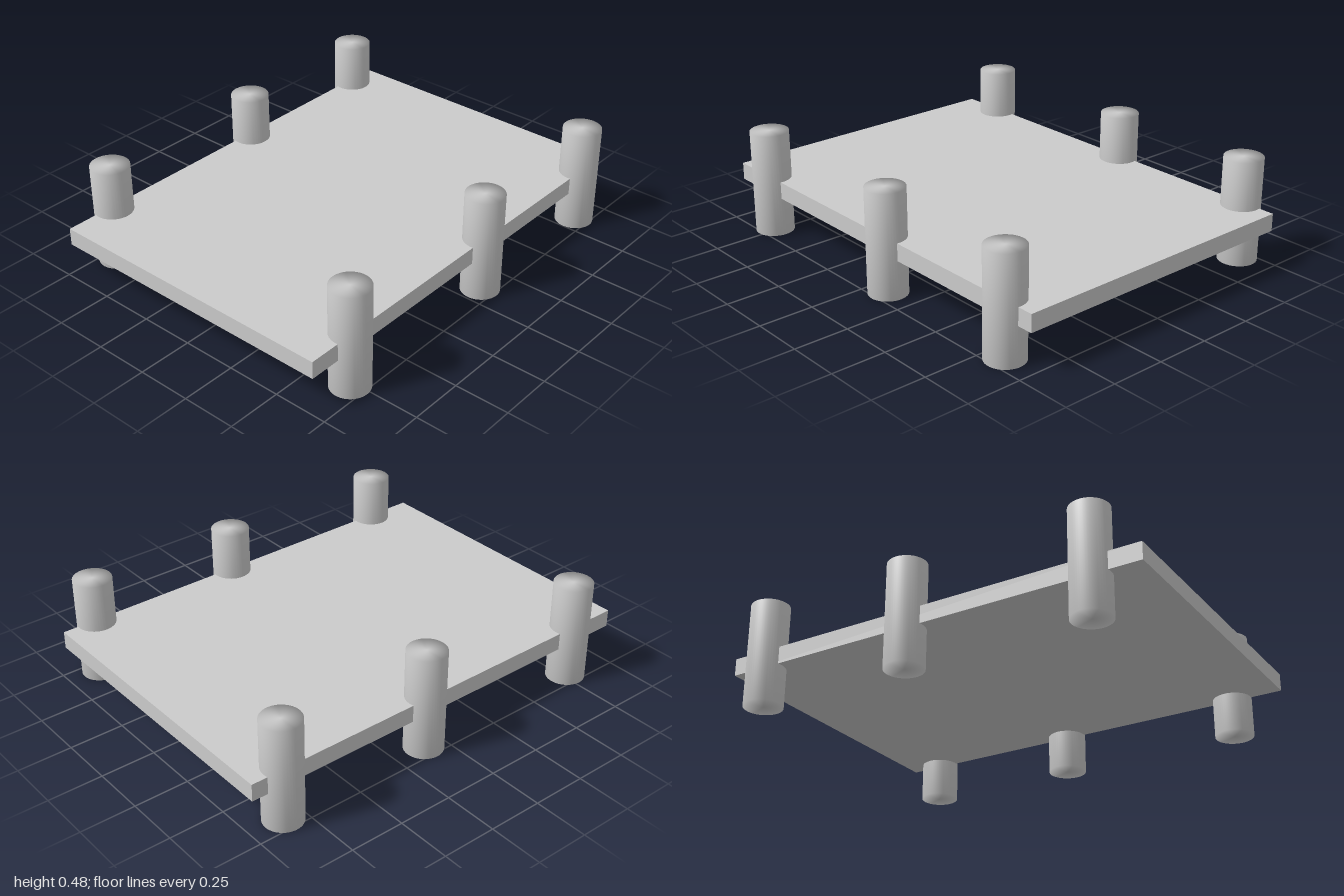
import * as THREE from 'three';

export function createModel() {
  const model = new THREE.Group();
  const material = new THREE.MeshStandardMaterial({ color: 0xcccccc });

  // Flat slab
  const slab = new THREE.Mesh(new THREE.BoxGeometry(2, 0.08, 1.398), material);
  slab.name = 'slab';
  slab.position.set(0, 0.219, -0.006);
  model.add(slab);

  // Six posts along the long edges, shaded smoothly over their rims
  const radius = 0.088, height = 0.483;
  const profile = [[0, 0], [radius, 0], [radius, height], [0, height]]
    .map(([x, y]) => new THREE.Vector2(x, y));
  const postGeometry = new THREE.LatheGeometry(profile, 48);

  for (const [side, z] of [['front', 0.681], ['back', -0.683]]) {
    [-0.768, 0.098, 0.84].forEach((x, i) => {
      const post = new THREE.Mesh(postGeometry, material);
      post.name = `${side}Post${i + 1}`;
      post.position.set(x, 0, z);
      model.add(post);
    });
  }
  return model;
}
